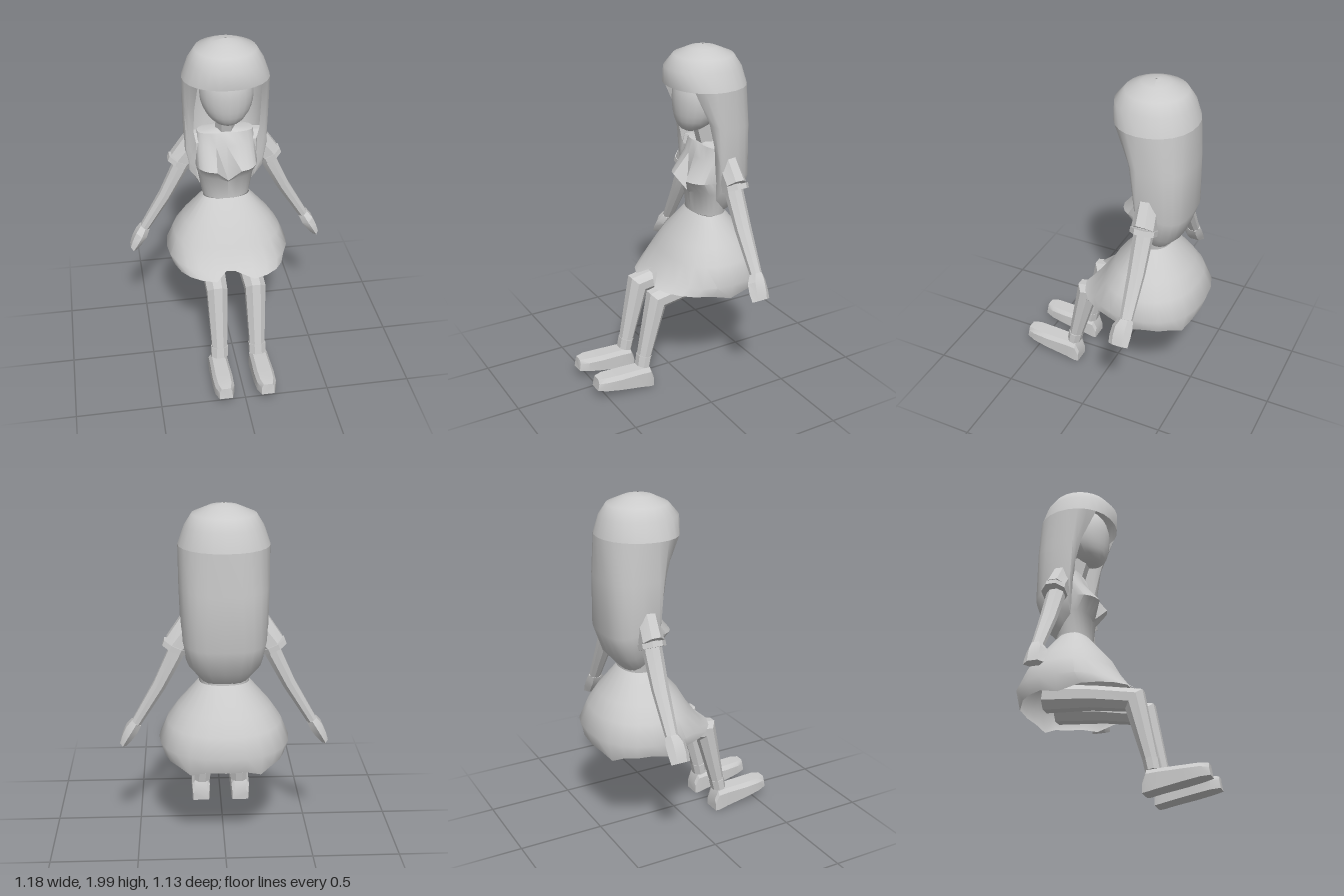
import * as THREE from 'three';
import { toCreasedNormals } from 'three/addons/utils/BufferGeometryUtils.js';

const V = (x, y, z) => new THREE.Vector3(x, y, z);
const mat = new THREE.MeshStandardMaterial({ color: 0xcccccc, side: THREE.DoubleSide });

// Skin a list of rings; closed joins each ring, caps fill the two ends
function loft(name, rings, { closed = true, caps = false, crease = 0.7 } = {}) {
  const n = rings[0].length, pos = [], idx = [];
  rings.forEach(r => r.forEach(p => pos.push(p.x, p.y, p.z)));
  for (let i = 0; i < rings.length - 1; i++) {
    for (let j = 0; j < (closed ? n : n - 1); j++) {
      const a = i * n + j, b = i * n + (j + 1) % n;
      idx.push(a, a + n, b + n, a, b + n, b);
    }
  }
  if (caps) {
    const e = (rings.length - 1) * n;
    for (let j = 1; j < n - 1; j++) idx.push(0, j, j + 1, e, e + j + 1, e + j);
  }
  const g = new THREE.BufferGeometry();
  g.setAttribute('position', new THREE.Float32BufferAttribute(pos, 3));
  g.setIndex(idx);
  const mesh = new THREE.Mesh(toCreasedNormals(g, crease), mat);
  mesh.name = name;
  return mesh;
}

// Horizontal superellipse ring starting at the front, edit() may adjust each point
const N = 24;
function oval(y, w, zf, zb, mid, p = 1, edit) {
  const pw = v => Math.sign(v) * Math.abs(v) ** p;
  return Array.from({ length: N }, (_, j) => {
    const t = j / N * Math.PI * 2, c = pw(Math.cos(t));
    const pt = V(w * pw(Math.sin(t)), y, mid + c * (c > 0 ? zf - mid : mid - zb));
    if (edit) edit(pt, j, t);
    return pt;
  });
}

// Faceted limb: stations are [x, y, z, radius in the bending plane, radius along side]
function limb(name, stations, side, sides = 8) {
  const pts = stations.map(s => V(s[0], s[1], s[2]));
  const rings = stations.map((s, i) => {
    const t = V(0, 0, 0);
    if (i > 0) t.add(pts[i].clone().sub(pts[i - 1]).normalize());
    if (i < pts.length - 1) t.add(pts[i + 1].clone().sub(pts[i]).normalize());
    const n = t.normalize().cross(side).normalize();
    const k = 1 / Math.cos(Math.PI / sides);
    return Array.from({ length: sides }, (_, j) => {
      const a = (j + 0.5) / sides * Math.PI * 2;
      return pts[i].clone().addScaledVector(n, Math.cos(a) * s[3] * k)
        .addScaledVector(side, Math.sin(a) * s[4] * k);
    });
  });
  return loft(name, rings, { caps: true, crease: 0.4 });
}

function makeHead() {
  const g = new THREE.SphereGeometry(1, 20, 14);
  const p = g.attributes.position;
  // oval face, with the chin drawn forward
  for (let i = 0; i < p.count; i++) {
    const y = p.getY(i), low = Math.max(0, -y);
    p.setXYZ(i, p.getX(i) * 0.155, 1.7 + y * 0.19, -0.19 + p.getZ(i) * 0.145 + low * low * 0.05);
  }
  g.computeVertexNormals();
  const m = new THREE.Mesh(g, mat);
  m.name = 'head';
  return m;
}

function makeHair() {
  const hair = new THREE.Group();
  hair.name = 'hair';
  // crown with the fringe overhanging the forehead
  const crown = [[2, 0.005, -0.215, -0.225, 1], [1.985, 0.08, -0.14, -0.3, 1], [1.945, 0.175, -0.055, -0.395, 1],
    [1.88, 0.215, 0, -0.435, 0.95], [1.78, 0.25, -0.005, -0.465, 0.95]]
    .map(([y, w, f, b, p]) => oval(y, w, f, b, -0.22, p));
  hair.add(loft('crown', crown, { crease: 0.9 }));
  // long curtain round the sides and back: [front y, back y, width, front z, back z, power]
  const rows = [[1.78, 1.78, 0.25, -0.005, -0.465, 0.95], [1.6, 1.55, 0.248, -0.13, -0.467, 0.75],
    [1.45, 1.24, 0.24, -0.18, -0.465, 0.65], [1.39, 1.1, 0.215, -0.19, -0.42, 0.7],
    [1.37, 1.01, 0.15, -0.2, -0.34, 0.8]];
  const curtain = rows.map(([yf, yb, w, f, b, p]) => oval(0, w, f, b, -0.22, p, (pt, j, t) => {
    const k = Math.min(1, Math.abs(t - Math.PI) / (Math.PI * 0.75)) ** 3;
    pt.y = yb + (yf - yb) * k;
    // front locks hang wide even where the lower back narrows
    if (yb < 1.2) pt.x += Math.sign(pt.x) * k * (0.23 - w) * 0.8;
  }).slice(3, N - 2));
  hair.add(loft('longHair', curtain, { closed: false, crease: 0.9 }));
  return hair;
}

function makeBodice() {
  const rows = [[1.44, 0.05, -0.22, -0.31, 1], [1.425, 0.165, -0.195, -0.335, 0.8], [1.35, 0.175, -0.17, -0.35, 0.75],
    [1.23, 0.185, -0.07, -0.355, 0.7], [1.15, 0.165, -0.14, -0.35, 0.85], [1.01, 0.14, -0.15, -0.35, 0.9]];
  return loft('bodice', rows.map(([y, w, f, b, p], i) => oval(y, w, f, b, -0.25, p, (pt, j) => {
    // pointed dip in the middle of the bust edge
    if (j === 0 && i === 3) pt.set(0, 1.145, -0.125);
    if (j === 0 && i === 4) pt.y = 1.13;
  })), { crease: 0.75 });
}

function makeSkirt() {
  const rows = [[1.01, 0.14, -0.15, -0.35, 0.95], [0.86, 0.265, -0.02, -0.47, 0.95], [0.77, 0.325, 0.03, -0.52, 0.9],
    [0.66, 0.37, 0.11, -0.565, 0.88], [0.59, 0.345, 0.17, -0.535, 0.83]];
  return loft('skirt', rows.map(([y, w, f, b, p], i) => oval(y, w, f, b, -0.22, p, (pt, j, t) => {
    if (i < 4) return;
    // ragged hem, lowest at the back, split over the lap
    pt.y = 0.585 + 0.03 * Math.cos(t) + (j % 4 === 2 && Math.abs(pt.z) > 0.2 ? -0.02 : 0.01);
    if (j === 0) pt.set(0, 0.7, 0.07);
  })), { crease: 0.8 });
}

function makeArm() {
  const arm = new THREE.Group(), z = V(0, 0, 1);
  arm.name = 'arm';
  arm.add(
    limb('sleeve', [[0.1, 1.345, -0.265, 0.075, 0.05], [0.18, 1.325, -0.27, 0.095, 0.06],
      [0.265, 1.23, -0.28, 0.07, 0.065]], z),
    limb('sleeveCuff', [[0.262, 1.235, -0.282, 0.074, 0.071], [0.275, 1.207, -0.282, 0.072, 0.071]], z),
    limb('foreArm', [[0.24, 1.26, -0.278, 0.045, 0.05], [0.27, 1.18, -0.278, 0.045, 0.052],
      [0.36, 1.0, -0.282, 0.036, 0.047], [0.5, 0.765, -0.285, 0.027, 0.034]], z),
    limb('hand', [[0.495, 0.775, -0.285, 0.03, 0.036], [0.52, 0.735, -0.275, 0.036, 0.052],
      [0.55, 0.685, -0.272, 0.03, 0.054], [0.574, 0.643, -0.272, 0.019, 0.05]], z, 6));
  return arm;
}

function makeLeg() {
  const leg = new THREE.Group(), x = V(1, 0, 0);
  leg.name = 'leg';
  leg.add(
    limb('legLimb', [[0.1, 0.63, -0.38, 0.075, 0.075], [0.11, 0.6, -0.1, 0.065, 0.068],
      [0.115, 0.555, 0.15, 0.072, 0.06], [0.115, 0.17, 0.242, 0.038, 0.044]], x),
    limb('ankleCuff', [[0.115, 0.205, 0.235, 0.042, 0.05], [0.117, 0.14, 0.248, 0.04, 0.05]], x));
  // shoe sections from heel to raised toe: [z, bottom, top, half width]
  const shoe = [[0.2, 0.01, 0.08, 0.05], [0.222, 0.012, 0.135, 0.056], [0.285, 0.026, 0.14, 0.056],
    [0.42, 0.052, 0.145, 0.06], [0.51, 0.07, 0.15, 0.056], [0.557, 0.079, 0.147, 0.038]]
    .map(([z, b, t, w]) => [[-w, b], [-w, t - 0.025], [-w * 0.7, t], [w * 0.7, t], [w, t - 0.025], [w, b]]
      .map(([px, py]) => V(0.125 + px, py, z + (z > 0.55 && py === b ? 0.008 : 0))));
  leg.add(loft('shoe', shoe, { caps: true, crease: 0.4 }));
  return leg;
}

export function createModel() {
  const model = new THREE.Group();
  model.name = 'seatedDoll';
  model.add(makeHead(), makeHair(), makeBodice(), makeSkirt(),
    limb('neck', [[0, 1.62, -0.2, 0.05, 0.05], [0, 1.41, -0.26, 0.05, 0.05]], V(1, 0, 0), 6));
  // limbs on both sides
  for (const [label, s] of [['left', 1], ['right', -1]]) {
    const half = new THREE.Group();
    half.name = label + 'Limbs';
    half.scale.x = s;
    half.add(makeArm(), makeLeg());
    model.add(half);
  }
  return model;
}
